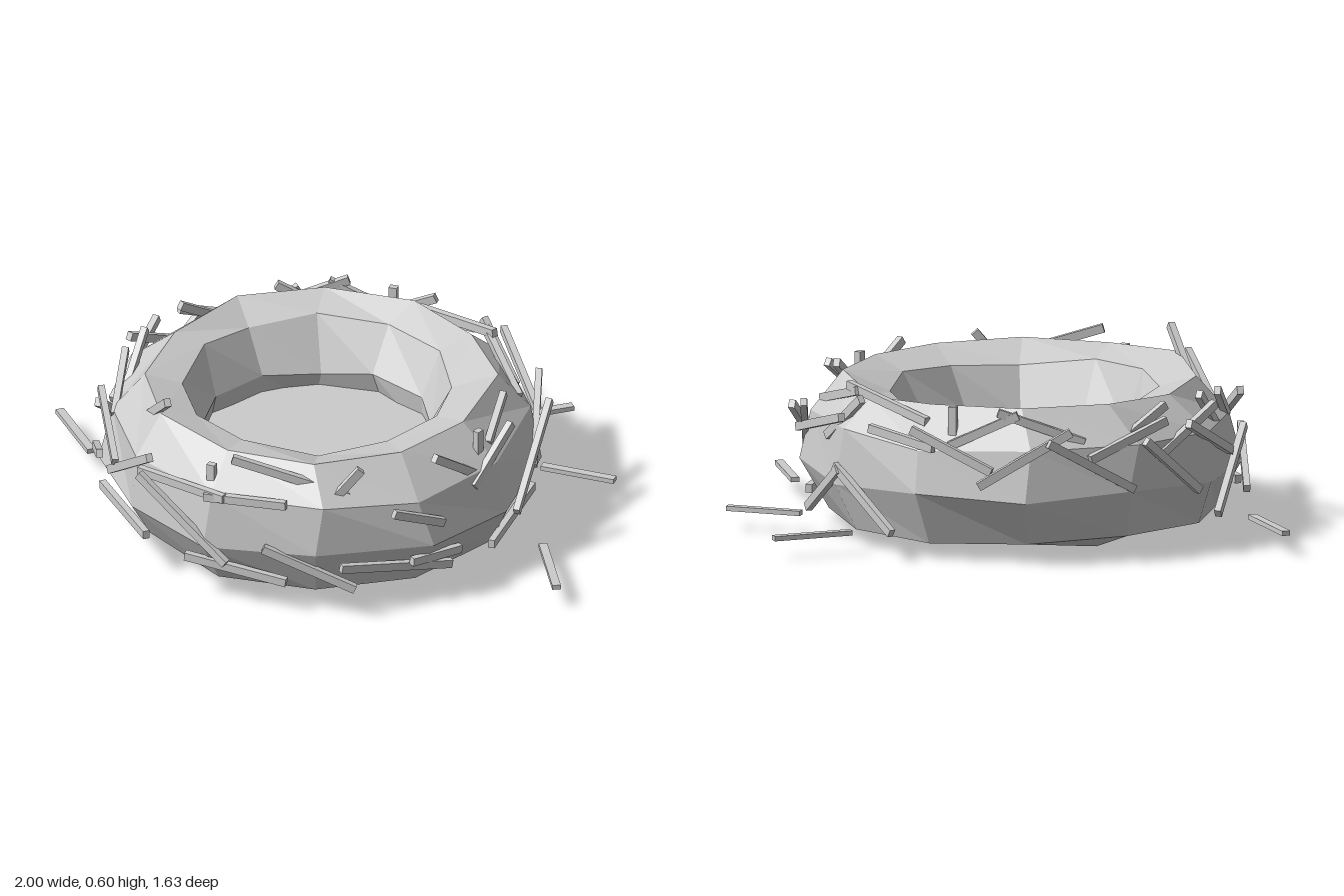
import * as THREE from 'three';

const SEGMENTS = 12;
const CENTRE_Z = 0.08;
const THICKNESS = 0.028;

// Closed cross-section of the ring as [radius, height]: bottom, outside, rim, inside
const PROFILE = [
  [0.5, 0.04], [0.635, 0.065], [0.715, 0.22], [0.69, 0.38],
  [0.57, 0.5], [0.45, 0.455], [0.37, 0.3], [0.4, 0.14],
];
// Height of the underside around the ring, starting at the front
const UNDERSIDE = [0, 0.055, 0.04, 0.06, 0.035, 0.055, 0.045, 0.06, 0.015, 0.055, 0.02, 0.06];

// Twigs round the ring: [angle from +x towards +z, height, length, upward tilt], degrees
const TWIGS = {
  front: [
    [121, 0.36, 0.4, -33], [98, 0.28, 0.41, 34], [100, 0.39, 0.35, -2], [80, 0.395, 0.28, -3],
    [128, 0.14, 0.4, -3], [83, 0.13, 0.35, 6], [62, 0.175, 0.33, 24], [38, 0.155, 0.4, 10],
    [68, 0.465, 0.4, 17], [125, 0.51, 0.25, -38], [92, 0.43, 0.1, 90], [52, 0.44, 0.17, -50],
  ],
  left: [
    [32, 0.325, 0.2, 23], [2, 0.41, 0.25, -35], [-10, 0.465, 0.2, -27], [4, 0.45, 0.1, 90],
    [-18, 0.29, 0.42, -33], [-10, 0.115, 0.42, 1], [26, 0.16, 0.2, 5], [-32, 0.335, 0.34, -38],
    [-45, 0.465, 0.33, -15], [-48, 0.385, 0.45, -15], [-52, 0.175, 0.3, -35], [16, 0.43, 0.24, 35],
  ],
  back: [
    [-72, 0.18, 0.35, 30], [-58, 0.42, 0.25, -38], [-84, 0.4, 0.26, 8], [-72, 0.485, 0.38, 10],
    [-98, 0.46, 0.1, 90], [-100, 0.38, 0.3, 25], [-120, 0.36, 0.35, -30], [-125, 0.45, 0.3, 20],
    [-138, 0.33, 0.35, 30], [-150, 0.4, 0.3, -20], [-108, 0.44, 0.25, -25],
  ],
  right: [
    [170, 0.23, 0.4, -35], [172, 0.43, 0.2, 40], [180, 0.36, 0.35, 25], [188, 0.4, 0.3, -25],
    [197, 0.3, 0.3, 40], [205, 0.43, 0.25, -30], [158, 0.42, 0.25, 30], [150, 0.22, 0.35, -25],
    [140, 0.38, 0.3, 25],
  ],
};

// Loose twigs on the ground: [x1, z1, x2, z2]
const FALLEN = [
  [-0.995, 0.065, -0.77, 0.24], [0.81, 0.02, 0.99, 0.235],
  [0.25, -0.61, 0.425, -0.815], [0.54, -0.425, 0.79, -0.47],
];

function seeded(seed) {
  return () => {
    seed = (seed * 16807) % 2147483647;
    return seed / 2147483647 - 0.5;
  };
}

// Lathed ring with its corners nudged to look hand-woven
function ringGeometry() {
  const points = [...PROFILE, PROFILE[0]].map(([r, y]) => new THREE.Vector2(r, y));
  const geometry = new THREE.LatheGeometry(points, SEGMENTS);
  const position = geometry.attributes.position;
  const random = seeded(417);
  const nudges = Array.from({ length: SEGMENTS }, () => PROFILE.map(() => [random() * 0.03, random() * 0.035, random() * 0.08]));
  for (let i = 0; i <= SEGMENTS; i++) {
    for (let j = 0; j < points.length; j++) {
      const k = i % SEGMENTS, p = j % PROFILE.length;
      const [dr, dy, da] = nudges[k][p];
      const angle = (k / SEGMENTS) * Math.PI * 2 + da;
      const r = PROFILE[p][0] + dr;
      const y = p === 0 ? UNDERSIDE[k] : PROFILE[p][1] + dy;
      // the hollow sits slightly off centre
      const shift = p > 4 ? -0.02 : 0;
      position.setXYZ(i * points.length + j, r * Math.sin(angle) + shift, y, r * Math.cos(angle) + shift);
    }
  }
  const flat = geometry.toNonIndexed();
  flat.computeVertexNormals();
  return flat;
}

// Radius of the ring's outside at a given height
function outerRadius(y) {
  for (let i = 1; i < 4; i++) {
    const [r0, y0] = PROFILE[i], [r1, y1] = PROFILE[i + 1];
    if (y <= y1) return THREE.MathUtils.lerp(r0, r1, (y - y0) / (y1 - y0));
  }
  return PROFILE[4][0];
}

export function createModel() {
  const group = new THREE.Group();
  const straw = new THREE.MeshStandardMaterial({ color: 0xcccccc });
  straw.name = 'straw grey';

  const add = (name, geometry, parent) => {
    const mesh = new THREE.Mesh(geometry, straw);
    mesh.name = name;
    parent.add(mesh);
    return mesh;
  };

  const nest = new THREE.Group();
  nest.name = 'nest';
  nest.position.z = CENTRE_Z;
  group.add(nest);

  // Woven ring and the floor closing it
  add('ring', ringGeometry(), nest);
  const floor = new THREE.CylinderGeometry(0.47, 0.51, 0.19, SEGMENTS).toNonIndexed();
  floor.computeVertexNormals();
  add('floor', floor, nest).position.y = 0.14;

  // Twigs lying along the outside of the ring
  const random = seeded(91);
  for (const [side, twigs] of Object.entries(TWIGS)) {
    const bundle = new THREE.Group();
    bundle.name = side + 'Twigs';
    nest.add(bundle);
    for (const [degrees, y, length, tilt] of twigs) {
      const a = THREE.MathUtils.degToRad(degrees);
      const t = THREE.MathUtils.degToRad(tilt);
      const r = outerRadius(y) + 0.008;
      const twig = add('twig', new THREE.BoxGeometry(length, THICKNESS, 0.022), bundle);
      twig.position.set(r * Math.cos(a), y, r * Math.sin(a));
      twig.rotation.set(0, -a - Math.PI / 2 + random() * 0.2, t, 'YXZ');
    }
  }

  // Twigs dropped around the nest
  for (const [x1, z1, x2, z2] of FALLEN) {
    const length = Math.hypot(x2 - x1, z2 - z1);
    const twig = add('fallenTwig', new THREE.BoxGeometry(length, 0.016, THICKNESS), group);
    twig.position.set((x1 + x2) / 2, 0.072, (z1 + z2) / 2);
    twig.rotation.y = -Math.atan2(z2 - z1, x2 - x1);
  }
  return group;
}
